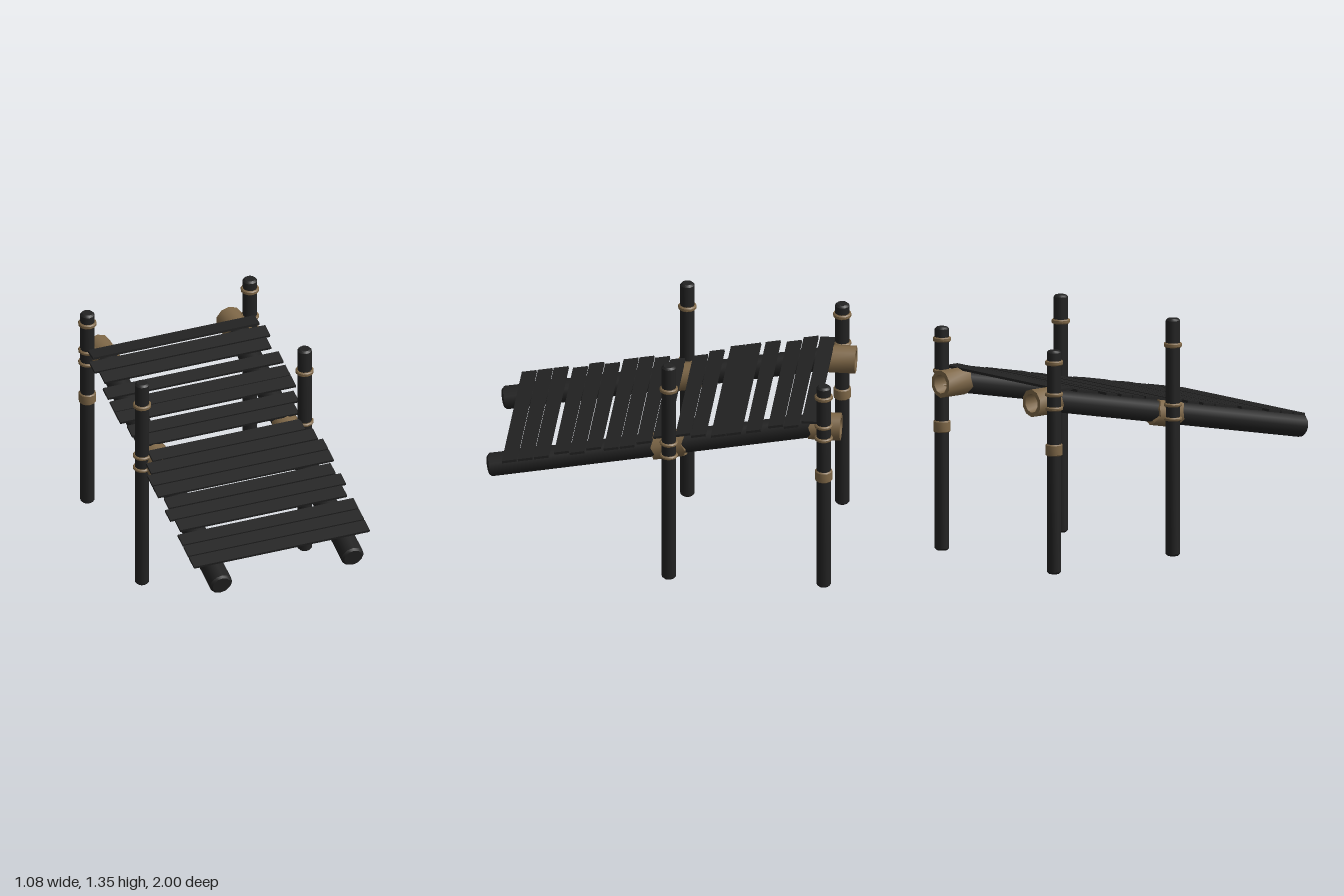
import * as THREE from 'three';
import { toCreasedNormals } from 'three/addons/utils/BufferGeometryUtils.js';

export function createModel() {
  const model = new THREE.Group();
  const darkWood = new THREE.MeshStandardMaterial({ color: 0x222222 });
  const rope = new THREE.MeshStandardMaterial({ color: 0x7e6747 });
  const slope = 0.194; // pitch of the ramp, rising toward the back

  const lathe = (pts, sides) =>
    new THREE.LatheGeometry(pts.map(([r, y]) => new THREE.Vector2(r, y)), sides);

  // Round timber with chamfered ends, standing on y = 0
  const timber = (r, h, c, sides) => toCreasedNormals(
    lathe([[0, 0], [r - c, 0], [r, c], [r, h - c], [r - c, h], [0, h]], sides), 0.7);

  // Hollow bevelled ring centred on y = 0
  const ring = (inner, outer, h, bevel) => toCreasedNormals(lathe([
    [inner, -h / 2], [outer - bevel, -h / 2], [outer, -h / 2 + bevel],
    [outer, h / 2 - bevel], [outer - bevel, h / 2], [inner, h / 2], [inner, -h / 2],
  ], 12), 0.7);

  // Hollow wrap with uneven ends; the jag pattern repeats around the axis
  function wrap(inner, outer, h, jagLow, jagHigh) {
    const geo = lathe([[inner, -h / 2], [outer, -h / 2], [outer, h / 2], [inner, h / 2], [inner, -h / 2]], 10);
    const p = geo.attributes.position;
    for (let i = 0; i < p.count; i++) {
      const k = Math.round(Math.atan2(p.getX(i), p.getZ(i)) / (Math.PI / 5)) + 10;
      const jag = [0, 1, -0.6, 0.7, -1][k % 5];
      p.setY(i, p.getY(i) + jag * (p.getY(i) < 0 ? jagLow : jagHigh));
    }
    return toCreasedNormals(geo, 0.7);
  }

  function add(name, geo, mat, x, y, z, rx = 0) {
    const mesh = new THREE.Mesh(geo, mat);
    mesh.name = name;
    mesh.position.set(x, y, z);
    mesh.rotation.x = rx;
    model.add(mesh);
  }

  // Posts with [height, thickness] of each rope band
  const posts = [
    { name: 'middlePost', z: -0.04, h: 1.35, bands: [[1.2, 0.026], [0.86, 0.02], [0.78, 0.02]] },
    { name: 'backPost', z: -0.912, h: 1.27, bands: [[1.2, 0.026], [1.02, 0.022], [0.94, 0.022], [0.705, 0.066]] },
  ];
  const tilt = slope - Math.PI / 2;
  for (const [side, s] of [['left', 1], ['right', -1]]) {
    for (const { name, z, h, bands } of posts) {
      add(`${side} ${name}`, timber(0.041, h, 0.011, 12), darkWood, s * 0.486, 0, z);
      for (const [y, t] of bands)
        add(`${side} ${name} ropeBand`, ring(0.036, t > 0.05 ? 0.049 : 0.052, t, 0.006), rope, s * 0.486, y, z);
    }
    // Sloping beam and its wraps
    add(`${side} beam`, timber(0.066, 1.89, 0.012, 12), darkWood, s * 0.393, 0.607, 0.985, tilt);
    add(`${side} middleWrap`, wrap(0.06, 0.079, 0.175, 0.013, 0.013), rope, s * 0.396, 0.802, -0.032, tilt);
    add(`${side} backWrap`, wrap(0.054, 0.079, 0.17, 0.012, 0), rope, s * 0.394, 0.966, -0.915, -Math.PI / 2);
  }

  // Deck planks: [z, half width], the last one at the back lies level
  const N = 0.498, W = 0.525;
  const planks = [
    [0.854, W], [0.764, W], [0.674, W], [0.563, N], [0.473, W], [0.382, N],
    [0.281, W], [0.191, W], [0.1, N], [0.01, 0.455], [-0.117, 0.465], [-0.207, N],
    [-0.323, W], [-0.41, W], [-0.52, W], [-0.642, N], [-0.733, W], [-0.83, N],
  ];
  planks.forEach(([z, half], i) => {
    const level = i === planks.length - 1;
    add(`plank ${i + 1}`, new THREE.BoxGeometry(half * 2, 0.014, 0.084), darkWood,
      0, level ? 1.039 : 0.876 - 0.197 * z, z, level ? 0 : slope);
  });
  return model;
}
